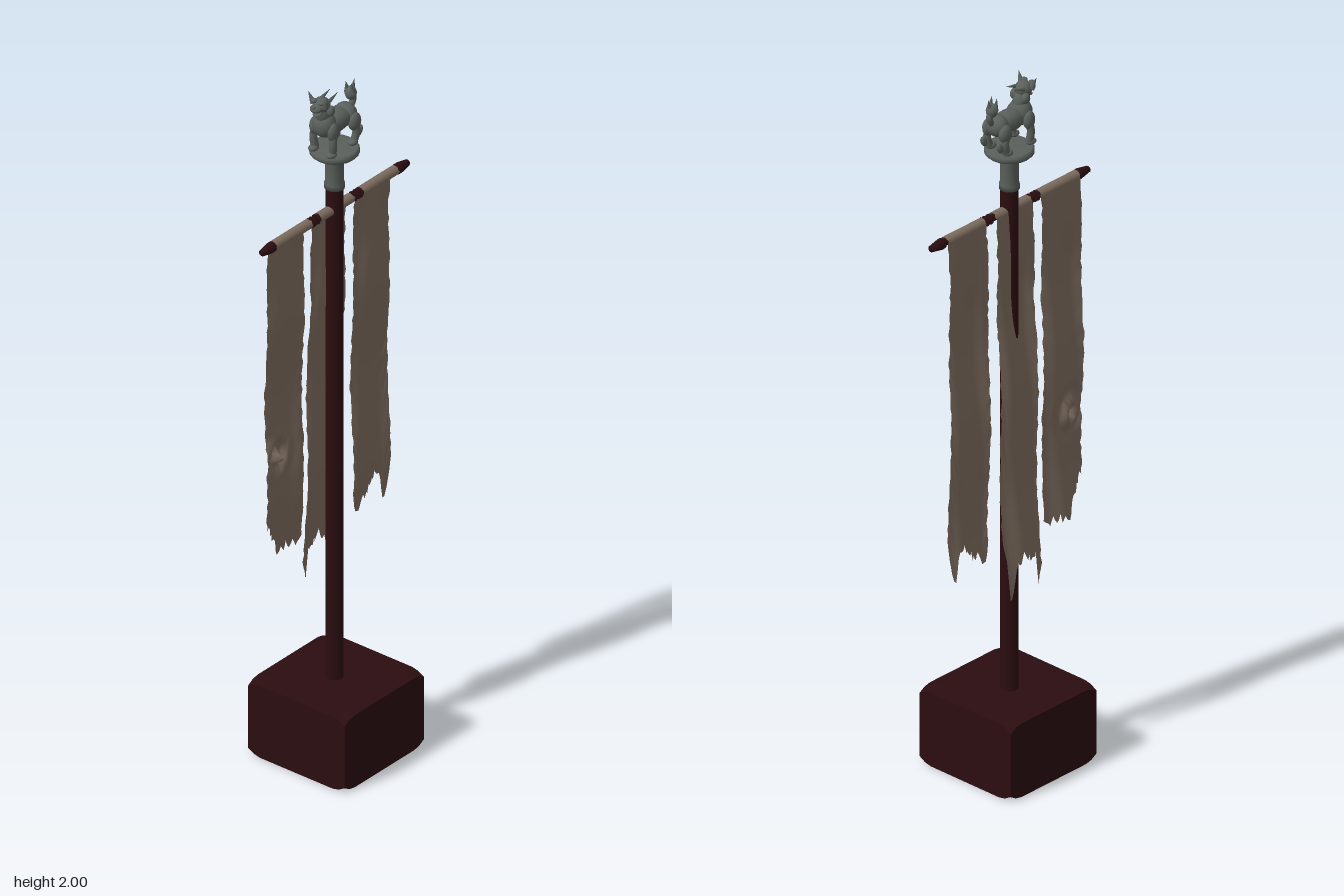
import * as THREE from 'three';

const mat = (name, color, side = THREE.FrontSide) => {
  const m = new THREE.MeshStandardMaterial({ color, side });
  m.name = name;
  return m;
};
const CX = -0.005; // axis of the pole

function makeNoise(seed) {
  let s = seed;
  return () => {
    s = (s * 16807) % 2147483647;
    return s / 2147483647 - 0.5;
  };
}

// Linear lookup in a list of [position, value] points
function lookup(points, t) {
  for (let i = 1; i < points.length; i++) {
    const [a, va] = points[i - 1], [b, vb] = points[i];
    if (t <= b) return va + (vb - va) * (t - a) / (b - a);
  }
  return points[points.length - 1][1];
}

export function createModel() {
  const wood = mat('dark red wood', 0x2b0d10);
  const stone = mat('grey green stone', 0x5a605b);
  const cloth = mat('worn linen', 0x7d6c5e, THREE.DoubleSide);
  const model = new THREE.Group();
  model.name = 'bannerStand';

  const add = (parent, name, geo, material, pos = [0, 0, 0], rot = [0, 0, 0], scale = [1, 1, 1]) => {
    const m = new THREE.Mesh(geo, material);
    m.name = name;
    m.position.set(...pos);
    m.rotation.set(...rot);
    m.scale.set(...scale);
    parent.add(m);
    return m;
  };

  // Block foot with slightly worn top and bottom corners
  const foot = new THREE.BoxGeometry(0.324, 0.217, 0.324, 16, 12, 16);
  const p = foot.attributes.position;
  for (let i = 0; i < p.count; i++) {
    const near = Math.min(Math.abs(p.getX(i)), Math.abs(p.getZ(i)));
    const wear = Math.max(0, (near - 0.12) / 0.042) ** 2 * 0.016;
    p.setY(i, p.getY(i) * (1 - wear / 0.1085));
  }
  foot.computeVertexNormals();
  add(model, 'foot', foot, wood, [0, 0.1085, 0]);

  // Pole and crossbar with flared end caps
  add(model, 'pole', new THREE.CylinderGeometry(0.024, 0.024, 1.5, 16), wood, [CX, 0.95, 0]);
  const barProfile = [[0, -0.296], [0.009, -0.296], [0.015, -0.262], [0.015, -0.252], [0.01, -0.25],
    [0.01, 0.25], [0.015, 0.252], [0.015, 0.262], [0.009, 0.296], [0, 0.296]];
  add(model, 'crossbar', new THREE.LatheGeometry(barProfile.map(q => new THREE.Vector2(...q)), 12),
    wood, [CX, 1.627, 0], [Math.PI / 2, 0, 0]);
  for (const s of [-1, 1]) {
    for (const z of [0.075, 0.09, 0.1]) {
      add(model, 'barBinding', new THREE.TorusGeometry(0.011, 0.004, 6, 12), wood, [CX, 1.627, s * z]);
    }
  }

  // Strip of cloth folded over the bar; hem gives the ragged lower edge across the width
  function strip(name, z0, z1, drift, lean, seed, hem, crease) {
    const cols = 28, rows = 64, wrap = 8, pos = [], idx = [];
    const rnd = makeNoise(seed);
    const hems = [], edge = [];
    for (let i = 0; i <= cols; i++) hems.push(lookup(hem, i / cols) + rnd() * 0.03);
    for (let j = 0; j <= rows; j++) edge.push([rnd() * 0.007, rnd() * 0.007]);
    for (let j = 0; j <= rows; j++) {
      for (let i = 0; i <= cols; i++) {
        const u = i / cols;
        let x, y, t = 0;
        if (j <= wrap) {
          const a = Math.PI * (j / wrap * 1.15 - 0.15);
          x = CX + Math.cos(a) * 0.0145;
          y = 1.627 + Math.sin(a) * 0.0145;
        } else {
          t = (j - wrap) / (rows - wrap);
          y = 1.627 + (hems[i] - 1.627) * t;
          const d = (1.627 - y) / 1.1;
          x = CX - 0.0145 - lean * d
            + Math.min(1, d * 5) * (0.006 * Math.sin(u * 7 + seed + d * 3) + 0.005 * Math.sin(d * 13 + seed));
        }
        let z = z0 + (z1 - z0) * u + drift * t * t;
        z += edge[j][0] * Math.max(0, 1 - u * 6) + edge[j][1] * Math.max(0, u * 6 - 5);
        if (crease) {
          const r = Math.hypot((z - crease[0]) / 0.04, (y - crease[1]) / 0.05);
          x += 0.02 * Math.exp(-r * r) * Math.cos(r * 5);
        }
        pos.push(x, y, z);
        if (i < cols && j < rows) {
          const a = j * (cols + 1) + i, b = a + cols + 1;
          idx.push(a, a + 1, b, a + 1, b + 1, b);
        }
      }
    }
    const g = new THREE.BufferGeometry();
    g.setAttribute('position', new THREE.Float32BufferAttribute(pos, 3));
    g.setIndex(idx);
    g.computeVertexNormals();
    add(model, name, g, cloth);
  }
  strip('frontBanner', 0.252, 0.105, -0.004, 0.02, 5,
    [[0, 0.77], [0.15, 0.73], [0.3, 0.71], [0.38, 0.66], [0.7, 0.67], [0.9, 0.66], [1, 0.69]], [0.2, 0.96]);
  strip('middleBanner', 0.07, -0.066, 0, 0.035, 11,
    [[0, 0.57], [0.07, 0.52], [0.14, 0.6], [0.35, 0.61], [0.55, 0.63], [0.7, 0.6], [0.8, 0.52],
      [0.88, 0.51], [0.93, 0.64], [1, 0.66]]);
  strip('backBanner', -0.102, -0.246, -0.01, 0.022, 23,
    [[0, 0.72], [0.06, 0.65], [0.13, 0.64], [0.2, 0.69], [0.35, 0.66], [0.5, 0.7], [0.65, 0.72],
      [0.78, 0.7], [0.86, 0.63], [0.92, 0.66], [1, 0.76]]);

  // Stone socket and round stand
  const finial = new THREE.Group();
  finial.name = 'finial';
  finial.position.x = CX;
  model.add(finial);
  const socket = [[0, 1.69], [0.027, 1.69], [0.027, 1.705], [0.025, 1.71], [0.025, 1.775], [0.034, 1.79],
    [0.06, 1.792], [0.066, 1.798], [0.066, 1.808], [0.06, 1.814], [0, 1.814]];
  add(finial, 'socketAndStand', new THREE.LatheGeometry(socket.map(q => new THREE.Vector2(...q)), 20), stone);

  // Guardian beast
  const beast = new THREE.Group();
  beast.name = 'beast';
  finial.add(beast);
  const ball = new THREE.SphereGeometry(1, 16, 12);
  const blob = (name, pos, scale, rot) => add(beast, name, ball, stone, pos, rot, scale);
  const limb = (name, pts, r, sides = 8) => add(beast, name, new THREE.TubeGeometry(
    new THREE.CatmullRomCurve3(pts.map(q => new THREE.Vector3(...q))), 10, r, sides), stone);

  blob('body', [0, 1.89, -0.005], [0.031, 0.031, 0.062]);
  blob('chest', [0, 1.9, 0.042], [0.033, 0.038, 0.03]);
  blob('rump', [0, 1.892, -0.045], [0.033, 0.031, 0.028]);
  blob('neck', [0, 1.932, 0.045], [0.021, 0.034, 0.024], [0.25, 0, 0]);
  blob('head', [0, 1.963, 0.053], [0.023, 0.021, 0.024]);
  blob('muzzle', [0, 1.96, 0.074], [0.017, 0.011, 0.017]);
  blob('jaw', [0, 1.944, 0.067], [0.013, 0.006, 0.016], [0.3, 0, 0]);
  blob('nose', [0, 1.969, 0.087], [0.007, 0.005, 0.005]);
  for (const s of [-1, 1]) {
    blob('brow', [s * 0.012, 1.978, 0.069], [0.009, 0.006, 0.008]);
    blob('maneCurl', [s * 0.02, 1.945, 0.04], [0.011, 0.015, 0.013]);
    blob('shoulder', [s * 0.03, 1.885, 0.042], [0.014, 0.027, 0.018]);
    blob('haunch', [s * 0.029, 1.878, -0.046], [0.015, 0.026, 0.021]);
    limb('frontLeg', [[s * 0.031, 1.88, 0.042], [s * 0.033, 1.85, 0.046], [s * 0.029, 1.818, 0.043]], 0.0105);
    limb('hindLeg', [[s * 0.03, 1.875, -0.045], [s * 0.032, 1.848, -0.05], [s * 0.029, 1.818, -0.043]], 0.0105);
    blob('frontPaw', [s * 0.03, 1.82, 0.049], [0.013, 0.009, 0.016]);
    blob('hindPaw', [s * 0.03, 1.82, -0.038], [0.013, 0.009, 0.016]);
    blob('hockTuft', [s * 0.029, 1.842, -0.066], [0.008, 0.016, 0.009], [-0.4, 0, 0]);
    add(beast, 'ear', new THREE.ConeGeometry(0.011, 0.036, 8), stone,
      [s * 0.025, 1.983, 0.066], [0.15, 0, -s * 0.4], [1, 1, 0.7]);
    add(beast, 'horn', new THREE.ConeGeometry(0.006, 0.042, 8), stone,
      [s * 0.013, 1.976, 0.02], [-1.25, 0, 0]);
  }

  // Upswept flame tail
  limb('tailStem', [[0, 1.9, -0.062], [0, 1.92, -0.075], [0, 1.945, -0.07]], 0.009);
  blob('tailTuft', [0, 1.944, -0.066], [0.016, 0.02, 0.016]);
  for (const [x, z, tilt] of [[0, -0.076, -0.25], [0.009, -0.06, 0.2], [-0.009, -0.06, 0.2]]) {
    add(beast, 'tailFlame', new THREE.ConeGeometry(0.009, 0.035, 8), stone, [x, 1.963, z], [tilt, 0, 0]);
  }
  return model;
}
